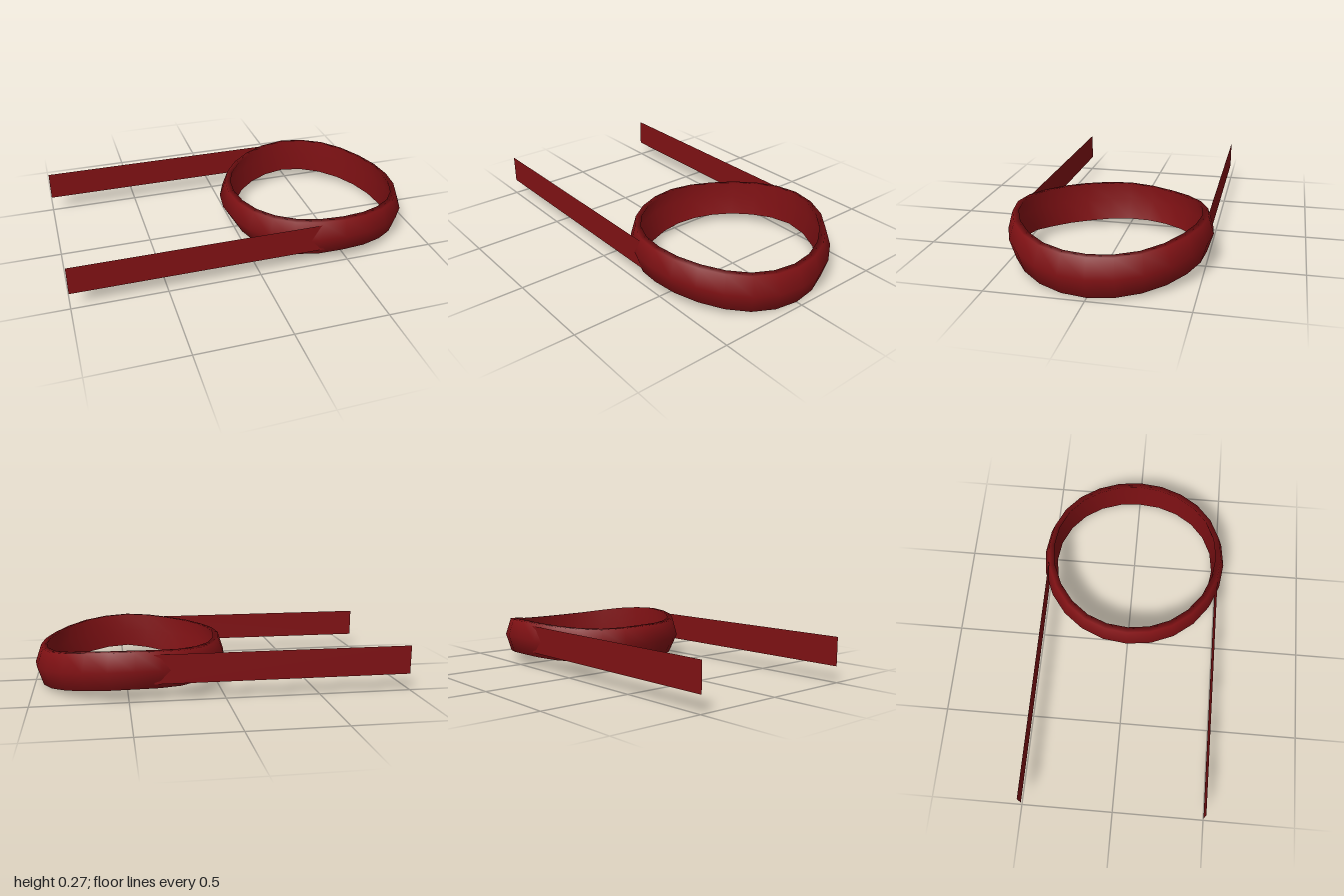
import * as THREE from 'three';

const CENTRE_X = 0.467;
const SEGMENTS = 24;
const THICKNESS = 0.032;
const BULGE_RADIUS = 0.531;

// Band every 30 degrees, from +x towards +z: [top height, bottom height, top radius, bottom radius]
const STATIONS = [
  [0.206, 0.002, 0.496, 0.498],
  [0.218, 0.018, 0.498, 0.5],
  [0.25, 0.055, 0.502, 0.5],
  [0.266, 0.073, 0.507, 0.501],
  [0.252, 0.042, 0.505, 0.492],
  [0.243, 0.034, 0.502, 0.475],
  [0.243, 0.045, 0.5, 0.467],
  [0.235, 0.05, 0.5, 0.475],
  [0.248, 0.057, 0.5, 0.49],
  [0.263, 0.07, 0.502, 0.5],
  [0.25, 0.052, 0.5, 0.5],
  [0.218, 0.02, 0.498, 0.5],
];

// Wavy closed band: a shell of even thickness that bulges outwards at mid height
function bandGeometry() {
  const rail = (toPoint) => new THREE.CatmullRomCurve3(STATIONS.map(toPoint), true, 'catmullrom', 0.5);
  const topRail = rail(([y, , r]) => new THREE.Vector3(r, y, 0));
  const bottomRail = rail(([, y, , r]) => new THREE.Vector3(r, y, 0));
  const positions = [];
  const index = [];
  const sides = 6;
  for (let i = 0; i < SEGMENTS; i++) {
    const angle = (i / SEGMENTS) * Math.PI * 2;
    const top = topRail.getPoint(i / SEGMENTS);
    const bottom = bottomRail.getPoint(i / SEGMENTS);
    const middle = (top.y + bottom.y) / 2 + 0.003;
    const section = [
      [bottom.x, bottom.y], [BULGE_RADIUS, middle], [top.x, top.y],
      [top.x - THICKNESS, top.y + 0.003], [BULGE_RADIUS - THICKNESS, middle], [bottom.x - THICKNESS, bottom.y],
    ];
    section.forEach(([r, y], j) => {
      positions.push(CENTRE_X + r * Math.cos(angle), y, r * Math.sin(angle));
      const next = ((i + 1) % SEGMENTS) * sides;
      const k = (j + 1) % sides;
      const a = i * sides + j, b = i * sides + k, c = next + k, d = next + j;
      index.push(a, b, c, a, c, d);
    });
  }
  const geometry = new THREE.BufferGeometry();
  geometry.setAttribute('position', new THREE.Float32BufferAttribute(positions, 3));
  geometry.setIndex(index);
  geometry.computeVertexNormals();
  return geometry;
}

export function createModel() {
  const group = new THREE.Group();
  const material = new THREE.MeshStandardMaterial({ color: 0x801114, side: THREE.DoubleSide });

  const band = new THREE.Mesh(bandGeometry(), material);
  band.name = 'band';
  group.add(band);

  // Two flat straps running out of the sides of the band
  const startX = -1, endX = 0.37, bottom = 0.09, top = 0.245;
  for (const [name, side] of [['frontStrap', 1], ['backStrap', -1]]) {
    const strap = new THREE.Mesh(new THREE.PlaneGeometry(endX - startX, top - bottom), material);
    strap.name = name;
    strap.position.set((startX + endX) / 2, (bottom + top) / 2, side * 0.494);
    if (side < 0) strap.rotation.y = Math.PI;
    group.add(strap);
  }
  return group;
}
